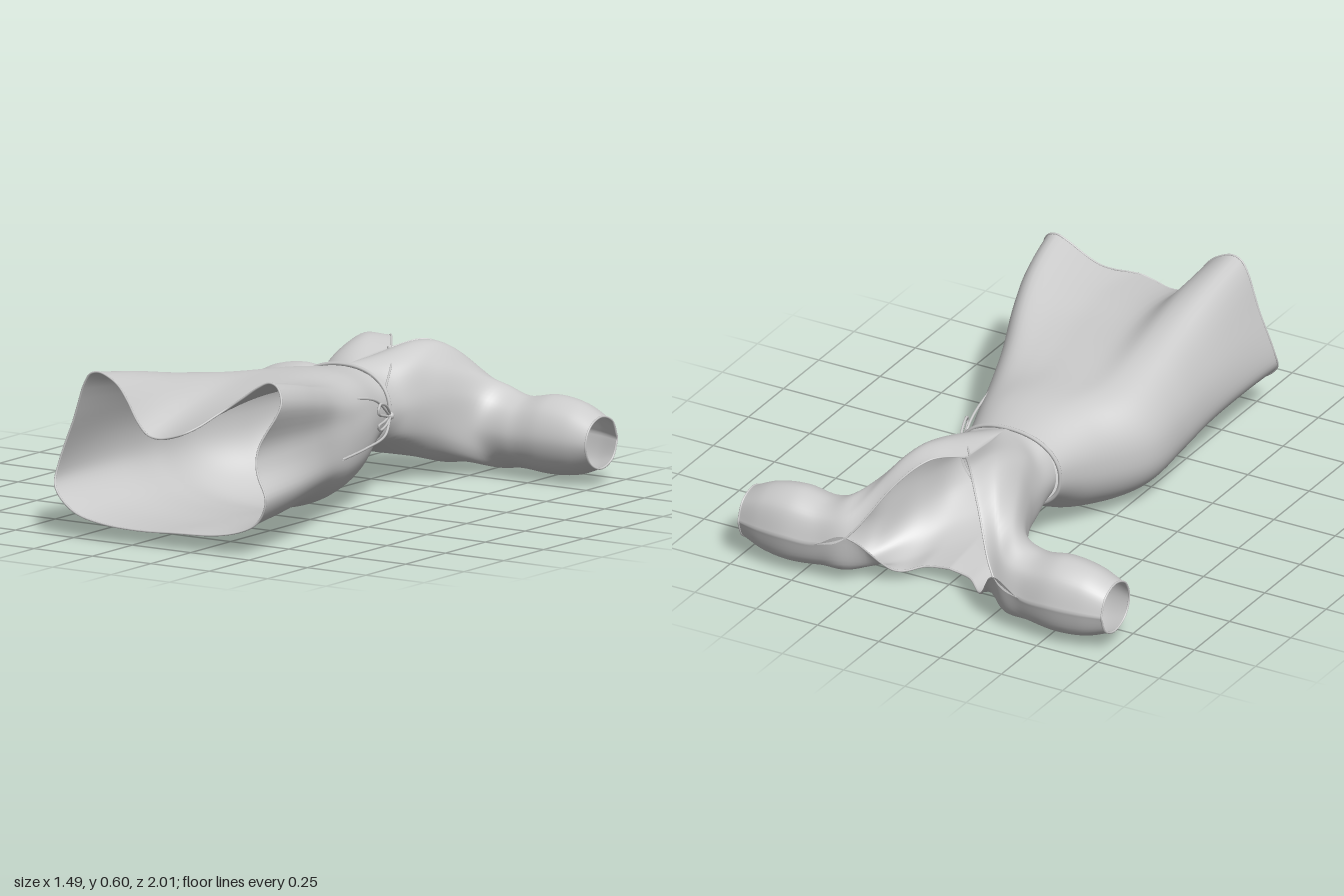
import * as THREE from 'three';
import { mergeGeometries, mergeVertices } from 'three/addons/utils/BufferGeometryUtils.js';

const cloth = new THREE.MeshStandardMaterial({ color: 0xcccccc, side: THREE.DoubleSide });

// Catmull-Rom through rows of numbers, t in 0..1
function spline(rows, t, closed = false) {
  const n = rows.length, f = t * (closed ? n : n - 1);
  const i = Math.min(Math.floor(f), closed ? n : n - 2), k = f - i;
  const at = (j) => rows[closed ? (j + n) % n : Math.min(Math.max(j, 0), n - 1)];
  const [a, b, c, d] = [at(i - 1), at(i), at(i + 1), at(i + 2)];
  return b.map((_, m) => b[m] + 0.5 * k * (c[m] - a[m] +
    k * (2 * a[m] - 5 * b[m] + 4 * c[m] - d[m] + k * (3 * (b[m] - c[m]) + d[m] - a[m]))));
}

// Grid surface from a function (u, v) -> [x, y, z]
function sheet(fn, nu, nv, flip = false) {
  const pos = [], idx = [];
  for (let i = 0; i <= nu; i++) for (let j = 0; j <= nv; j++) pos.push(...fn(i / nu, j / nv));
  for (let i = 0; i < nu; i++) for (let j = 0; j < nv; j++) {
    const a = i * (nv + 1) + j, b = a + 1, c = a + nv + 1, d = c + 1;
    idx.push(...(flip ? [a, c, b, b, c, d] : [a, b, c, b, d, c]));
  }
  const g = new THREE.BufferGeometry();
  g.setAttribute('position', new THREE.Float32BufferAttribute(pos, 3));
  g.setIndex(idx);
  return g;
}

// Weld the seams, then shade smoothly
function weld(g) {
  const w = mergeVertices(g, 1e-4);
  w.computeVertexNormals();
  return w;
}

// Waist to hem: x min, x max, y min, y max
const skirtSizes = [
  [-0.21, 0.19, 0.16, 0.45], [-0.27, 0.25, 0.05, 0.48], [-0.365, 0.30, 0.01, 0.49],
  [-0.375, 0.34, 0.03, 0.51], [-0.365, 0.40, 0.05, 0.53], [-0.36, 0.46, 0.055, 0.56],
  [-0.355, 0.50, 0.07, 0.58],
];
// Wavy hem: x, y, z and the matching angle at the waist (360 added by wrap)
const hem = [
  [0.51, 0.22, 0.91, -10], [0.46, 0.31, 0.89, 5], [0.45, 0.40, 0.86, 18], [0.50, 0.54, 0.80, 32],
  [0.43, 0.61, 0.77, 46], [0.28, 0.51, 0.81, 62], [0.19, 0.43, 0.95, 78], [0.03, 0.41, 0.95, 98],
  [-0.10, 0.57, 0.94, 116], [-0.22, 0.60, 0.94, 134], [-0.30, 0.42, 0.93, 160], [-0.35, 0.26, 0.95, 185],
  [-0.34, 0.18, 0.98, 205], [-0.25, 0.11, 1.0, 225], [-0.13, 0.08, 1.0, 245], [0.02, 0.07, 0.99, 268],
  [0.17, 0.075, 0.98, 290], [0.32, 0.08, 0.96, 312], [0.42, 0.10, 0.93, 330], [0.48, 0.14, 0.91, 343],
  // store the angle as its offset from an even spread so that it wraps
].map(([x, y, z, a], i) => [x, y, z, a - i * 18]);

const softPow = (v) => Math.sign(v) * Math.abs(v) ** 0.9;
function skirtPoint(t, v) {
  const h = spline(hem, v, true), [x0, x1, y0, y1] = spline(skirtSizes, t);
  const a = (h[3] + v * 360) * Math.PI / 180, w = t * t;
  const x = (x0 + x1) / 2 + (x1 - x0) / 2 * softPow(Math.cos(a));
  const y = (y0 + y1) / 2 + (y1 - y0) / 2 * softPow(Math.sin(a));
  return [x + (h[0] - x) * w, y + (h[1] - y) * w, -0.33 + t * (h[2] + 0.33)];
}

// Sleeve ring around an x axis, starting at the shoulder seam
const ring = (x, y, z, ry, rz) => Array.from({ length: 9 }, (_, k) => {
  const a = k / 8 * Math.PI * 2;
  return [x, y + ry * Math.sin(a), z - rz * Math.cos(a)];
});
// Half bodice, centre line to cuff; each row runs front neckline, side, back neckline
const bodiceRows = [
  [[0, 0.47, -0.63], [0, 0.46, -0.48], [0, 0.45, -0.33], [0.14, 0.415, -0.33], [0.195, 0.30, -0.33],
    [0.14, 0.195, -0.33], [0, 0.16, -0.33], [0, 0.11, -0.53], [0, 0.08, -0.75]],
  [[0.08, 0.49, -0.74], [0.11, 0.505, -0.62], [0.14, 0.45, -0.47], [0.18, 0.37, -0.43], [0.20, 0.29, -0.43],
    [0.18, 0.20, -0.43], [0.12, 0.13, -0.50], [0.10, 0.09, -0.62], [0.09, 0.07, -0.76]],
  [[0.17, 0.41, -0.84], [0.19, 0.47, -0.74], [0.21, 0.43, -0.62], [0.225, 0.35, -0.575], [0.23, 0.27, -0.57],
    [0.22, 0.18, -0.58], [0.20, 0.10, -0.64], [0.19, 0.06, -0.74], [0.18, 0.07, -0.84]],
  [[0.30, 0.22, -0.96], [0.31, 0.30, -0.92], [0.32, 0.345, -0.84], [0.31, 0.30, -0.745], [0.30, 0.20, -0.71],
    [0.31, 0.10, -0.74], [0.32, 0.045, -0.81], [0.31, 0.08, -0.92], [0.30, 0.22, -0.96]],
  ring(0.42, 0.175, -0.86, 0.13, 0.125),
  ring(0.54, 0.178, -0.867, 0.143, 0.133),
  ring(0.65, 0.175, -0.865, 0.13, 0.122),
  ring(0.74, 0.17, -0.86, 0.093, 0.1),
];
function bodicePoint(u, v) {
  const [x, y, z] = spline(bodiceRows.map((r) => spline(r, v)), u);
  return [Math.max(x, 0), y, z];
}

export function createModel() {
  const model = new THREE.Group();
  const add = (name, geo) => {
    const m = new THREE.Mesh(geo, cloth);
    m.name = name;
    model.add(m);
  };
  const cord = (name, pts, r, closed = false) => add(name, new THREE.TubeGeometry(
    new THREE.CatmullRomCurve3(pts.map((p) => new THREE.Vector3(...p)), closed), pts.length * 6, r, 6, closed));
  const sample = (n, fn) => Array.from({ length: n }, (_, i) => fn(i / n));

  add('skirt', weld(sheet(skirtPoint, 48, 100)));
  cord('hemEdge', sample(60, (v) => skirtPoint(1, v)), 0.004, true);

  // Bodice with both sleeves in one welded cloth
  const left = sheet(bodicePoint, 56, 56);
  const right = sheet((u, v) => {
    const [x, y, z] = bodicePoint(u, v);
    return [-x, y, z];
  }, 56, 56, true);
  add('bodiceAndSleeves', weld(mergeGeometries([left, right])));

  // Cuff and neckline edges
  for (const s of [1, -1]) {
    const side = (u, v) => {
      const [x, y, z] = bodicePoint(u, v);
      return [s * x, y, z];
    };
    cord(s > 0 ? 'leftCuff' : 'rightCuff', sample(24, (v) => side(1, v)), 0.004, true);
    for (const [v, name] of [[0, 'frontNeckline'], [1, 'backNeckline']])
      cord(name, sample(13, (u) => side(u * 13 / 12 * 3 / 7, v)), 0.004);
  }

  // Wrap edge crossing the front of the bodice
  cord('wrapEdge', [[-0.01, 0.472, -0.62], [0.06, 0.475, -0.53], [0.12, 0.45, -0.45], [0.165, 0.39, -0.35]], 0.004);

  // Waist cord, bow and hanging tails
  cord('waistCord', sample(40, (v) => {
    const a = v * Math.PI * 2;
    return [-0.007 + 0.203 * softPow(Math.cos(a)), 0.305 + 0.149 * softPow(Math.sin(a)), -0.328 - 0.01 * Math.sin(a)];
  }), 0.008, true);
  const knot = [0.205, 0.295, -0.32];
  for (const s of [1, -1]) {
    cord('bowLoop', [knot, [0.235, 0.31 + 0.035 * s, -0.25], [0.255, 0.315 + 0.045 * s, -0.18],
      [0.26, 0.31 + 0.025 * s, -0.165], [0.235, 0.30 + 0.01 * s, -0.24]], 0.005, true);
  }
  cord('upperTail', [knot, [0.225, 0.37, -0.2], [0.245, 0.41, 0], [0.262, 0.44, 0.2]], 0.005);
  cord('lowerTail', [knot, [0.265, 0.25, -0.2], [0.32, 0.24, 0], [0.355, 0.235, 0.2]], 0.005);
  const knotBall = new THREE.SphereGeometry(0.014, 10, 8).translate(...knot);
  add('bowKnot', knotBall);
  return model;
}
